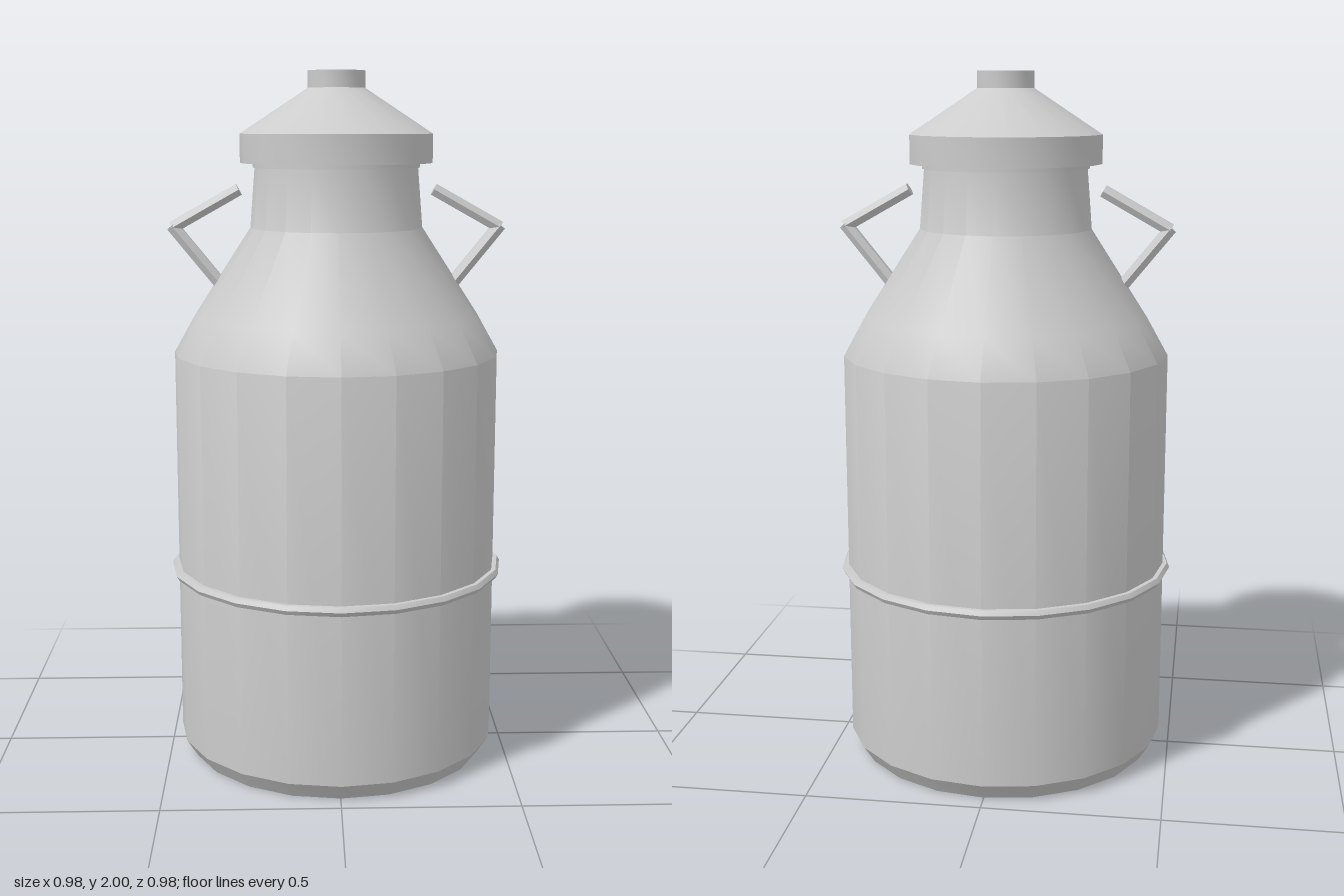
import * as THREE from 'three';
import { toCreasedNormals } from 'three/addons/utils/BufferGeometryUtils.js';

const grey = new THREE.MeshStandardMaterial({ color: 0xcccccc });
const CREASE = 0.52;

function addMesh(parent, name, geometry) {
  const mesh = new THREE.Mesh(toCreasedNormals(geometry, CREASE), grey);
  mesh.name = name;
  parent.add(mesh);
  return mesh;
}

// Turned part from a list of [radius, height], bottom to top
function turned(parent, name, profile, sides) {
  const points = profile.map(([r, y]) => new THREE.Vector2(r, y));
  const geometry = new THREE.LatheGeometry(points, sides);
  geometry.rotateY(Math.PI / 2);
  return addMesh(parent, name, geometry);
}

// Six-sided rod between two points in the XY plane
function rod(parent, name, from, to, radius) {
  const a = new THREE.Vector3(...from, 0);
  const b = new THREE.Vector3(...to, 0);
  const dir = b.clone().sub(a);
  const mesh = addMesh(parent, name, new THREE.CylinderGeometry(radius, radius, dir.length(), 6));
  mesh.position.copy(a).add(b).multiplyScalar(0.5);
  mesh.quaternion.setFromUnitVectors(new THREE.Vector3(0, 1, 0), dir.normalize());
  return mesh;
}

export function createModel() {
  const can = new THREE.Group();
  can.name = 'milkCan';

  // Body with bevelled foot, sloping shoulder and neck
  turned(can, 'body', [
    [0, 0], [0.44, 0], [0.472, 0.05], [0.472, 1.2], [0.41, 1.31],
    [0.248, 1.56], [0.234, 1.735], [0, 1.735],
  ], 20);

  // Thin lip under the lid
  turned(can, 'neckLip', [
    [0, 1.73], [0.24, 1.73], [0.24, 1.75], [0, 1.75],
  ], 20);

  // Conical lid with an upright rim
  turned(can, 'lid', [
    [0, 1.743], [0.276, 1.743], [0.276, 1.825], [0.082, 1.952], [0, 1.952],
  ], 18);

  // Knob on the lid
  turned(can, 'knob', [
    [0, 1.94], [0.082, 1.94], [0.082, 2], [0, 2],
  ], 18);

  // Raised hoop around the body
  const hoop = new THREE.TorusGeometry(0.477, 0.015, 6, 20);
  hoop.rotateX(Math.PI / 2);
  addMesh(can, 'hoop', hoop).position.y = 0.56;

  // Bent handles, one on each side
  for (const [name, s] of [['leftHandle', 1], ['rightHandle', -1]]) {
    const handle = new THREE.Group();
    handle.name = name;
    rod(handle, 'upperGrip', [s * 0.28, 1.668], [s * 0.472, 1.56], 0.02);
    rod(handle, 'lowerGrip', [s * 0.473, 1.566], [s * 0.34, 1.402], 0.02);
    can.add(handle);
  }

  return can;
}
